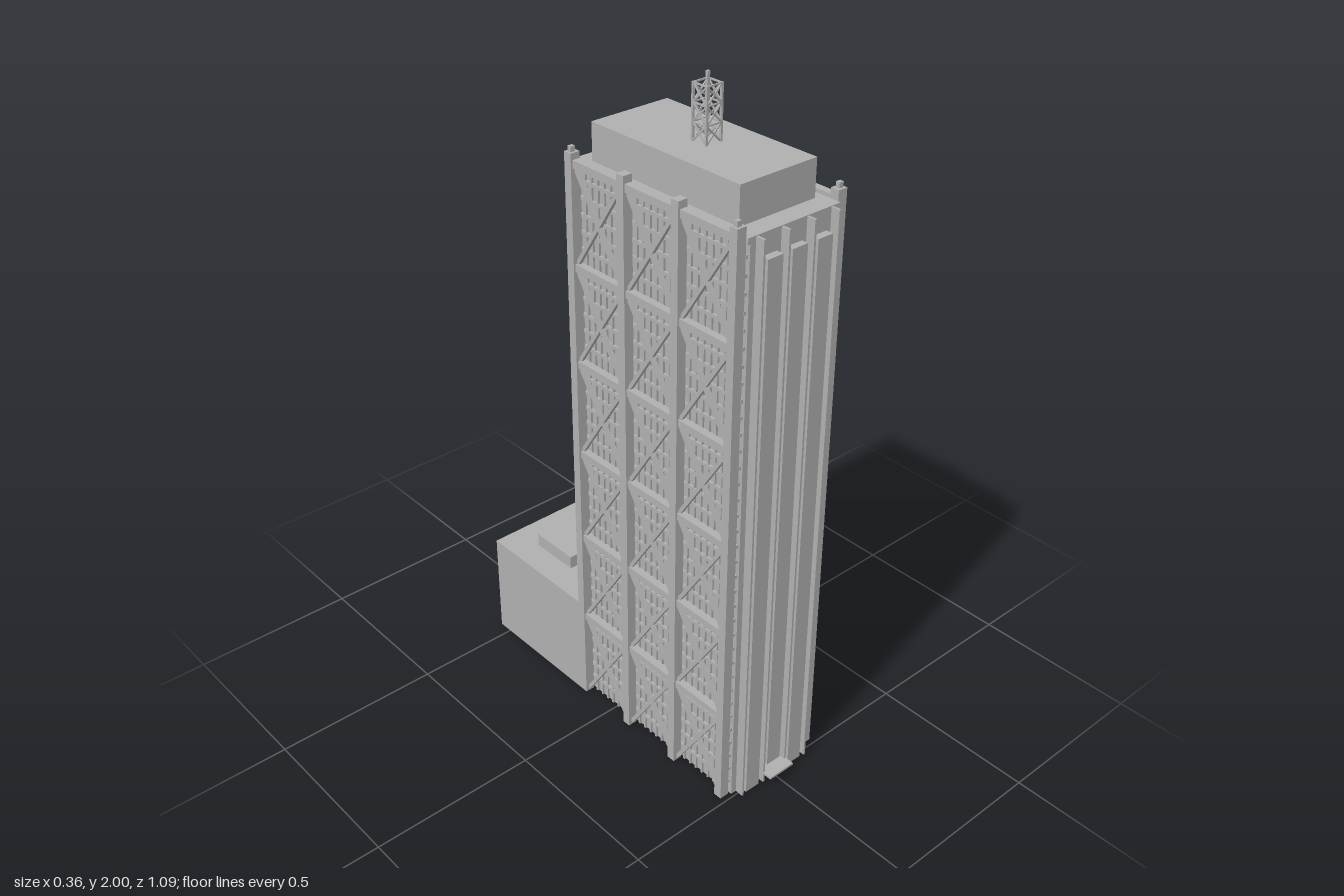
import * as THREE from 'three';

export function createModel() {
  const model = new THREE.Group();
  const grey = new THREE.MeshStandardMaterial({ color: 0xb0b0b0 });
  grey.name = 'concrete grey';
  const group = (name, parent = model) => {
    const g = new THREE.Group();
    g.name = name;
    parent.add(g);
    return g;
  };
  // Box given by its lower and upper limits on each axis
  const box = (parent, name, x0, x1, y0, y1, z0, z1) => {
    const m = new THREE.Mesh(new THREE.BoxGeometry(x1 - x0, y1 - y0, z1 - z0), grey);
    m.position.set((x0 + x1) / 2, (y0 + y1) / 2, (z0 + z1) / 2);
    m.name = name;
    parent.add(m);
    return m;
  };
  // Square bar between two points
  const bar = (parent, name, a, b, w, d = w) => {
    const p = new THREE.Vector3(...a), q = new THREE.Vector3(...b);
    const dir = q.clone().sub(p);
    const m = new THREE.Mesh(new THREE.BoxGeometry(w, dir.length(), d), grey);
    m.position.copy(p).add(q).multiplyScalar(0.5);
    m.quaternion.setFromUnitVectors(new THREE.Vector3(0, 1, 0), dir.normalize());
    m.name = name;
    parent.add(m);
  };

  // Tower, roof and rear annex
  box(model, 'towerCore', -0.145, 0.145, 0, 1.72, -0.13, 0.49);
  box(model, 'roofSlab', -0.152, 0.152, 1.705, 1.722, -0.14, 0.49);
  box(model, 'penthouse', -0.125, 0.125, 1.72, 1.826, -0.095, 0.432);
  box(model, 'annex', -0.18, 0.18, 0, 0.332, -0.545, -0.13);
  box(model, 'annexRoofUnit', -0.095, 0.095, 0.332, 0.373, -0.44, -0.28);

  // Floor ledges and mullions on the sides and the back
  const facade = group('facadeGrid');
  const floors = 36, floorHeight = 1.72 / floors;
  for (let i = 1; i < floors; i++) {
    const y = i * floorHeight;
    box(facade, 'floorLedge', -0.152, 0.152, y - 0.005, y + 0.005, -0.137, 0.484);
  }
  for (let i = 0; i <= 10; i++) {
    const x = -0.14 + i * 0.028;
    box(facade, 'backMullion', x - 0.004, x + 0.004, 0, 1.71, -0.139, -0.129);
  }
  for (const s of [-1, 1]) {
    for (let i = 0; i <= 24; i++) {
      const z = -0.12 + i * 0.0246;
      const m = box(facade, 'sideMullion', 0.144, 0.151, 0, 1.71, z - 0.003, z + 0.003);
      m.position.x *= s;
    }
  }

  // Braced steel frame on each long side
  const columnZ = [-0.125, 0.075, 0.273, 0.47];
  const bay = 0.2865;
  for (const s of [-1, 1]) {
    const frame = group(s > 0 ? 'leftFrame' : 'rightFrame');
    columnZ.forEach((z, i) => {
      const corner = i === 0 || i === 3;
      const c = box(frame, 'column', 0.151, 0.18, 0, corner ? 1.75 : 1.753, z - 0.013, z + 0.013);
      c.position.x *= s;
      if (corner) {
        const cap = box(frame, 'columnCap', 0.16, 0.174, 1.75, 1.765, z - 0.006, z + 0.006);
        cap.position.x *= s;
      }
    });
    for (let r = 0; r < 6; r++) {
      const y0 = r * bay, y1 = y0 + bay;
      const beam = box(frame, 'beam', 0.154, 0.175, y1 - 0.009, y1 + 0.013, -0.125, 0.47);
      beam.position.x *= s;
      for (let k = 0; k < 3; k++) {
        const a = columnZ[k] + 0.013, b = columnZ[k + 1] - 0.013;
        const x = s * 0.164;
        bar(frame, 'brace', [x, y0 + 0.012, a], [x, y1 - 0.009, b], 0.011);
        bar(frame, 'brace', [x, y0 + 0.012, b], [x, y1 - 0.009, a], 0.011);
      }
    }
  }

  // Front bays, fins and entrance canopy
  const front = group('frontFacade');
  for (const s of [-1, 1]) {
    const panel = box(front, 'frontBay', 0.058, 0.108, 0, 1.663, 0.489, 0.512);
    panel.position.x *= s;
    for (const x of [0.042, 0.124]) {
      const fin = box(front, 'frontFin', x - 0.003, x + 0.003, 0, 1.72, 0.489, 0.516);
      fin.position.x *= s;
    }
  }
  box(front, 'centreBay', -0.025, 0.025, 0.05, 1.663, 0.489, 0.51);
  box(front, 'canopy', -0.045, 0.045, 0.03, 0.037, 0.489, 0.545);

  // Lattice mast
  const mast = group('mast');
  mast.position.set(0, 1.826, 0.187);
  const r = 0.024, levels = 3, step = 0.145 / levels;
  const corners = [[-r, -r], [r, -r], [r, r], [-r, r]];
  corners.forEach(([x, z], i) => {
    const [u, w] = corners[(i + 1) % 4];
    bar(mast, 'mastLeg', [x, 0, z], [x, 0.147, z], 0.006);
    for (let k = 0; k < levels; k++) {
      const y = k * step;
      bar(mast, 'mastBrace', [x, y, z], [u, y + step, w], 0.004);
      bar(mast, 'mastBrace', [u, y, w], [x, y + step, z], 0.004);
      bar(mast, 'mastRail', [x, y + step, z], [u, y + step, w], 0.004);
    }
  });
  box(mast, 'antenna', -0.004, 0.004, 0.09, 0.174, -0.004, 0.004);

  return model;
}
